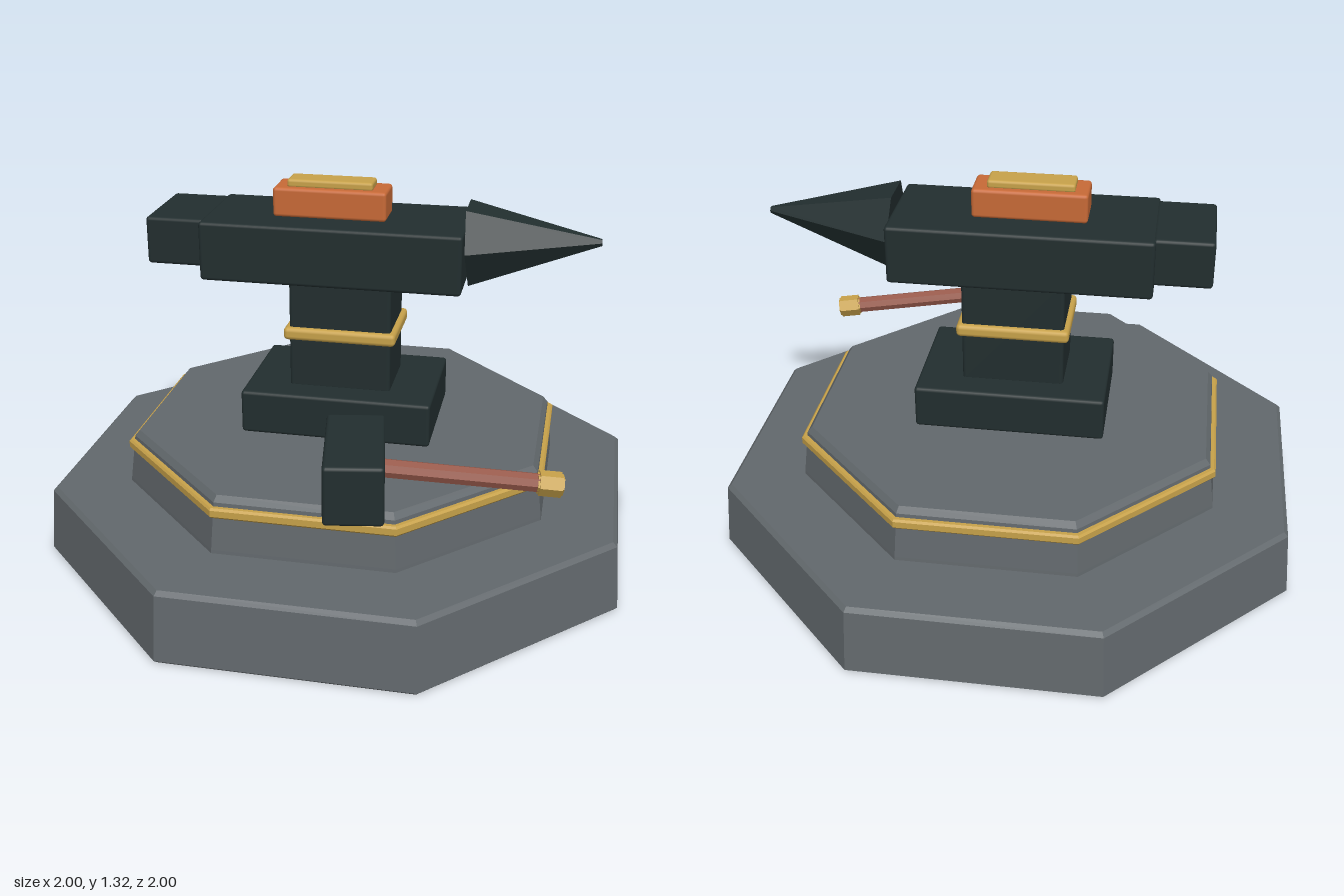
import * as THREE from 'three';
import { RoundedBoxGeometry } from 'three/addons/geometries/RoundedBoxGeometry.js';

const mat = (name, color) => {
  const m = new THREE.MeshStandardMaterial({ color });
  m.name = name;
  return m;
};

export function createModel() {
  const stone = mat('stone', 0x62686c);
  const iron = mat('dark iron', 0x222e2f);
  const gold = mat('gold', 0xc8a24a);
  const copper = mat('hot copper', 0xc86a37);
  const wood = mat('handle wood', 0x97594a);

  const model = new THREE.Group();
  model.name = 'anvilOnPedestal';

  const add = (name, geometry, material, parent = model) => {
    const mesh = new THREE.Mesh(geometry, material);
    mesh.name = name;
    parent.add(mesh);
    return mesh;
  };

  // Give every facet its own normal
  const faceted = (geometry) => {
    const g = geometry.toNonIndexed();
    g.computeVertexNormals();
    return g;
  };

  // Eight-sided solid; profile is [half-width across flats, y], bottom to top
  const octagon = (name, profile, material) => {
    const k = 1 / Math.cos(Math.PI / 8);
    const points = profile.map(([w, y]) => new THREE.Vector2(w * k, y));
    return add(name, faceted(new THREE.LatheGeometry(points, 8, Math.PI / 8)), material);
  };

  // Softly bevelled block given by its limits on each axis
  const block = (name, [x0, x1], [y0, y1], [z0, z1], material, bevel = 0.012, parent = model) => {
    const mesh = add(name, new RoundedBoxGeometry(x1 - x0, y1 - y0, z1 - z0, 2, bevel), material, parent);
    mesh.position.set((x0 + x1) / 2, (y0 + y1) / 2, (z0 + z1) / 2);
    return mesh;
  };

  // Pedestal
  octagon('lowerStep', [[0, 0], [0.99, 0], [1, 0.01], [0.982, 0.236], [0.968, 0.25], [0, 0.25]], stone);
  octagon('upperStep', [[0, 0.24], [0.727, 0.25], [0.726, 0.262], [0.706, 0.425], [0.69, 0.445], [0, 0.445]], stone);
  octagon('stepTrim', [[0.7, 0.376], [0.72, 0.376], [0.726, 0.383], [0.726, 0.405], [0.72, 0.412], [0.7, 0.412]], gold);

  // Anvil
  block('anvilFoot', [-0.333, 0.33], [0.445, 0.6], [-0.227, 0.227], iron);
  block('anvilWaist', [-0.18, 0.175], [0.59, 0.995], [-0.127, 0.127], iron);
  block('waistBand', [-0.198, 0.193], [0.77, 0.815], [-0.146, 0.146], gold, 0.015);
  block('anvilBody', [-0.475, 0.417], [0.985, 1.19], [-0.19, 0.19], iron);
  block('anvilHeel', [-0.667, -0.465], [1.025, 1.19], [-0.163, 0.163], iron);

  // Six-sided horn, tip raised slightly
  const hornShape = new THREE.CylinderGeometry(0.012, 0.15, 0.44, 6);
  hornShape.rotateZ(-Math.PI / 2);
  const horn = add('anvilHorn', faceted(hornShape), iron);
  horn.position.set(0.64, 1.13, 0);
  horn.rotation.z = 0.06;

  // Workpiece on the anvil face
  block('ingot', [-0.245, 0.145], [1.188, 1.29], [-0.07, 0.07], copper);
  block('ingotPlate', [-0.2, 0.095], [1.285, 1.315], [-0.046, 0.046], gold, 0.01);

  // Hammer lying on the step
  const hammer = new THREE.Group();
  hammer.name = 'hammer';
  hammer.position.set(0.147, 0.445, 0.615);
  hammer.rotation.y = 0.17;
  model.add(hammer);
  block('hammerHead', [-0.095, 0.095], [0, 0.2], [-0.194, 0.194], iron, 0.012, hammer);

  const shaft = new THREE.Group();
  shaft.name = 'hammerShaft';
  shaft.position.y = 0.112;
  shaft.rotation.z = -0.092;
  hammer.add(shaft);
  const rod = (name, radius, x0, x1, sides, material) => {
    const g = new THREE.CylinderGeometry(radius, radius, x1 - x0, sides);
    g.rotateZ(-Math.PI / 2);
    add(name, faceted(g), material, shaft).position.x = (x0 + x1) / 2;
  };
  rod('handle', 0.031, 0, 0.6, 8, wood);
  rod('handleCapCollar', 0.034, 0.577, 0.66, 6, gold);
  rod('handleCap', 0.041, 0.583, 0.654, 6, gold);

  return model;
}
